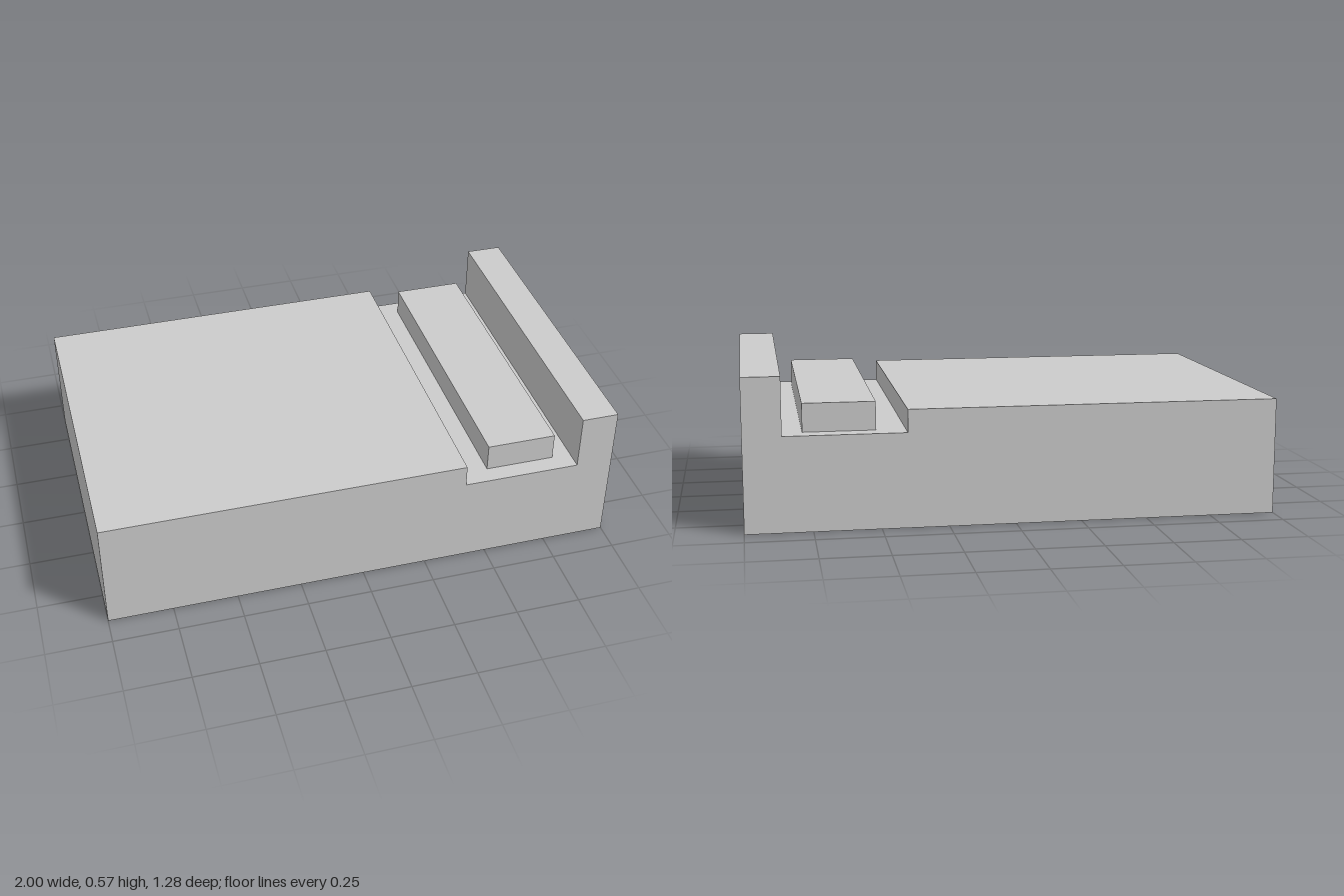
import * as THREE from 'three';

const DEPTH = 1.28;
const CHANNEL_Y = 0.357;

export function createModel() {
  const model = new THREE.Group();
  const material = new THREE.MeshStandardMaterial({ color: 0xcccccc, flatShading: true });

  // Stepped block: main deck, lower channel and raised end wall
  const profile = new THREE.Shape([
    [-1, 0], [1, 0], [1, 0.575], [0.857, 0.575],
    [0.857, CHANNEL_Y], [0.402, CHANNEL_Y], [0.402, 0.443], [-1, 0.443],
  ].map(([x, y]) => new THREE.Vector2(x, y)));
  const bodyGeometry = new THREE.ExtrudeGeometry(profile, { depth: DEPTH, bevelEnabled: false });
  bodyGeometry.translate(0, 0, -DEPTH / 2);
  const body = new THREE.Mesh(bodyGeometry, material);
  body.name = 'body';
  model.add(body);

  // Raised bar resting in the channel, sunk slightly into its floor
  const top = 0.464, bottom = CHANNEL_Y - 0.01;
  const bar = new THREE.Mesh(new THREE.BoxGeometry(0.27, top - bottom, 1.14), material);
  bar.name = 'channelBar';
  bar.position.set(0.647, (top + bottom) / 2, 0);
  model.add(bar);

  return model;
}
